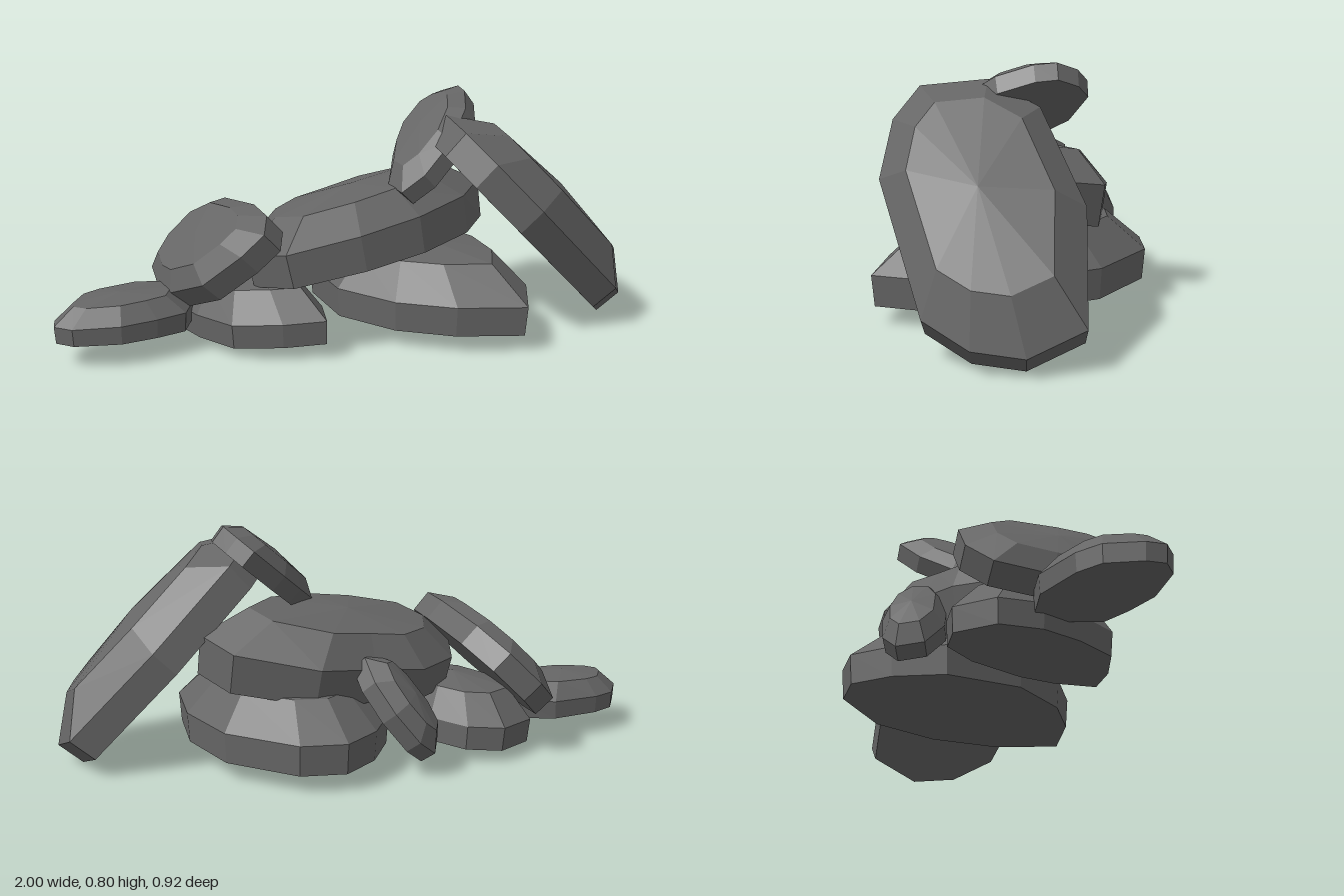
import * as THREE from 'three';

const material = new THREE.MeshStandardMaterial({ color: 0x666666, flatShading: true });

// A stone: flat underside, upright wall, chamfer and a shallow peak over an [x, z] outline.
// taper makes the stone thicker towards its +x end.
function stone(name, { at, tilt = 0, pitch = 0, turn = 0, taper = 0, wall, height, outline }) {
  let area = 0;
  const c = [0, 0], n = outline.length;
  outline.forEach(([x, z], i) => {
    const [x2, z2] = outline[(i + 1) % n];
    area += z * x2 - x * z2;
    c[0] += x / n;
    c[1] += z / n;
  });
  const pts = area > 0 ? outline : [...outline].reverse();

  // Cross-sections from the underside to the peak: [scale, height]
  const sections = [
    [0, 0], [0.98, 0], [1, wall], [0.7, wall + (height - wall) * 0.8], [0, height],
  ];
  const position = [], index = [];
  for (const [s, y] of sections) {
    for (const [x, z] of pts) {
      const dx = (x - c[0]) * s;
      position.push(c[0] + dx, y * (1 + taper * dx), c[1] + (z - c[1]) * s);
    }
  }
  for (let r = 0; r < sections.length - 1; r++) {
    for (let i = 0; i < n; i++) {
      const a = r * n + i, b = r * n + (i + 1) % n;
      if (r > 0) index.push(a, b, a + n);
      if (r < sections.length - 2) index.push(b, b + n, a + n);
    }
  }
  const indexed = new THREE.BufferGeometry();
  indexed.setAttribute('position', new THREE.Float32BufferAttribute(position, 3));
  indexed.setIndex(index);
  const geometry = indexed.toNonIndexed();
  geometry.computeVertexNormals();

  const mesh = new THREE.Mesh(geometry, material);
  mesh.name = name;
  mesh.position.set(...at);
  mesh.rotation.set(pitch, turn, tilt, 'YXZ');
  return mesh;
}

export function createModel() {
  const group = new THREE.Group();
  group.name = 'stonePile';
  group.add(
    // Stones lying on the ground
    stone('baseStone', {
      at: [0, 0.07, 0], wall: 0.1, height: 0.24,
      outline: [[0.15, -0.46], [0.3, -0.44], [0.5, -0.25], [0.58, 0], [0.57, 0.25], [0.47, 0.46],
        [0.25, 0.39], [0.08, 0.27], [-0.05, 0.07], [-0.06, -0.2], [0.03, -0.36]],
    }),
    stone('lowerStone', {
      at: [0, 0.07, 0], tilt: 0.05, wall: 0.08, height: 0.2,
      outline: [[-0.42, -0.33], [-0.3, -0.3], [-0.21, -0.18], [-0.14, 0.02], [-0.13, 0.15],
        [-0.16, 0.29], [-0.3, 0.26], [-0.45, 0.19], [-0.53, 0.04], [-0.57, -0.1], [-0.55, -0.24]],
    }),
    stone('endStone', {
      at: [0, 0.09, 0], wall: 0.06, height: 0.13, taper: 0.3,
      outline: [[-1, 0.06], [-0.99, 0], [-0.93, -0.1], [-0.85, -0.14], [-0.68, -0.17], [-0.56, -0.13],
        [-0.53, -0.02], [-0.58, 0.09], [-0.68, 0.12], [-0.8, 0.14], [-0.95, 0.11]],
    }),
    // Broad slab across the middle
    stone('middleSlab', {
      at: [0, 0.262, 0], tilt: 0.14, pitch: -0.13, taper: 0.2, wall: 0.12, height: 0.24,
      outline: [[-0.37, 0.12], [-0.28, 0.28], [-0.03, 0.3], [0.2, 0.25], [0.42, 0.12],
        [0.57, -0.08], [0.49, -0.24], [0.22, -0.315], [0.02, -0.26], [-0.16, -0.22], [-0.31, -0.08]],
    }),
    // Stones leaning on the slab
    stone('largeLeaningSlab', {
      at: [0.93, 0.005, 0.056], tilt: -0.8, turn: -0.2, wall: 0.1, height: 0.22,
      outline: [[0, 0], [-0.02, 0.156], [-0.11, 0.295], [-0.565, 0.45], [-0.78, 0.427], [-0.907, 0.353],
        [-0.934, 0.143], [-0.83, -0.02], [-0.48, -0.162], [-0.09, -0.166]],
    }),
    stone('topStone', {
      at: [0.2, 0.5, 0], tilt: 0.716, wall: 0.06, height: 0.11,
      outline: [[0.06, -0.08], [0.16, -0.18], [0.3, -0.22], [0.36, -0.18], [0.4, -0.11],
        [0.39, -0.04], [0.33, 0.07], [0.2, 0.18], [0.05, 0.22], [-0.04, 0.19], [-0.04, 0.07]],
    }),
    stone('sideLeaningStone', {
      at: [-0.56, 0.147, 0], tilt: 0.785, wall: 0.08, height: 0.14,
      outline: [[-0.02, -0.1], [0, -0.28], [0.1, -0.34], [0.25, -0.32], [0.35, -0.2],
        [0.4, 0.05], [0.4, 0.2], [0.35, 0.29], [0.25, 0.27], [0.1, 0.19], [0, 0.02]],
    }),
    stone('smallBackStone', {
      at: [-0.13, 0.06, -0.36], tilt: 0.9, turn: -0.55, wall: 0.055, height: 0.115,
      outline: [[0, -0.03], [0.06, -0.08], [0.18, -0.1], [0.3, -0.08], [0.38, -0.02],
        [0.37, 0.05], [0.28, 0.1], [0.12, 0.11], [0.02, 0.06]],
    }),
  );
  return group;
}
